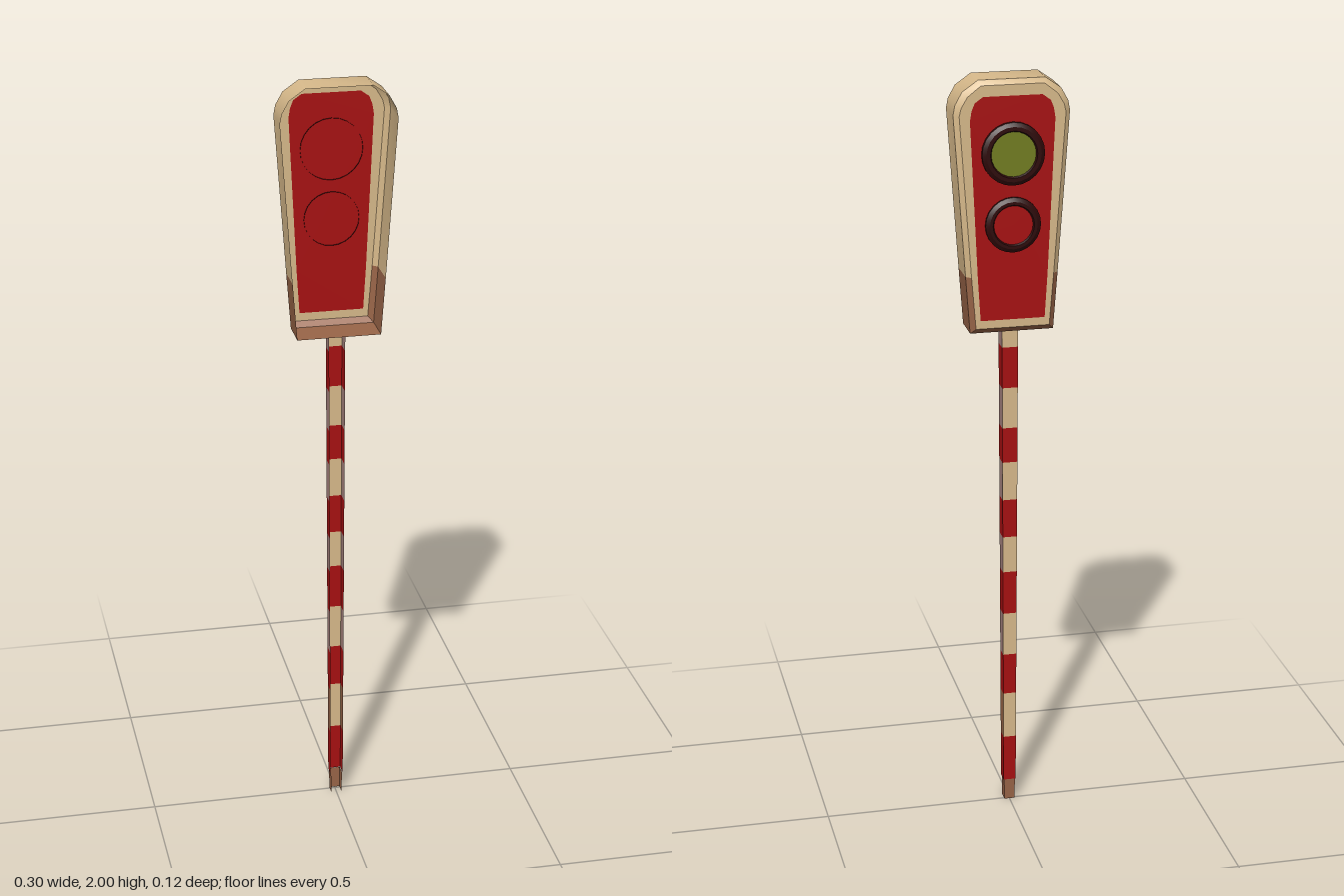
import * as THREE from 'three';
import { toCreasedNormals } from 'three/addons/utils/BufferGeometryUtils.js';

const material = (name, color) => {
  const m = new THREE.MeshStandardMaterial({ color, side: THREE.DoubleSide });
  m.name = name;
  return m;
};

// Geometry from a list of four-cornered faces
function quads(list) {
  const pos = [];
  for (const [a, b, c, d] of list) pos.push(...a, ...b, ...c, ...a, ...c, ...d);
  const g = new THREE.BufferGeometry();
  g.setAttribute('position', new THREE.Float32BufferAttribute(pos, 3));
  return toCreasedNormals(g, 0.75);
}

// Closed symmetric outline from its right half, listed bottom to top
const mirrorLoop = (half) => [...half, ...half.map(([x, y]) => [-x, y]).reverse()];

export function createModel() {
  const tan = material('tan', 0xd8ba8b);
  const red = material('red', 0xa81011);
  const brown = material('rust brown', 0x996548);
  const pink = material('faded pink', 0xa98580);
  const dark = material('dark rim', 0x2e0909);
  const green = material('olive green', 0x727d20);

  const model = new THREE.Group();
  model.name = 'railwaySignal';
  const add = (parent, name, geometry, mat) => {
    const mesh = new THREE.Mesh(geometry, mat);
    mesh.name = name;
    parent.add(mesh);
    return mesh;
  };

  // Head: shallow tapered tray, open at the front, with a bevelled back
  const head = new THREE.Group();
  head.name = 'head';
  model.add(head);
  const outer = mirrorLoop([[0.108, 1.35], [0.119, 1.5], [0.148, 1.915], [0.143, 1.94], [0.125, 1.972], [0.085, 2]]);
  const inner = mirrorLoop([[0.095, 1.364], [0.106, 1.5], [0.135, 1.913], [0.13, 1.934], [0.114, 1.961], [0.08, 1.988]]);
  const panel = mirrorLoop([[0.083, 1.385], [0.09, 1.5], [0.108, 1.9], [0.104, 1.925], [0.096, 1.945], [0.075, 1.96]]);
  const backZ = -0.043;

  // Strip of faces between two outlines, keeping only the edges that pass the test
  const strip = (a, za, b, zb, keep) => {
    const faces = [];
    a.forEach((p, i) => {
      const j = (i + 1) % a.length;
      if (keep(p, a[j])) faces.push([[...p, za], [...b[i], zb], [...b[j], zb], [...a[j], za]]);
    });
    return quads(faces);
  };
  const low = (p, q) => Math.max(p[1], q[1]) <= 1.5;
  const high = (p, q) => !low(p, q);
  add(head, 'upperWall', strip(outer, 0.057, outer, -0.031, high), tan);
  add(head, 'lowerWall', strip(outer, 0.057, outer, -0.031, low), brown);
  add(head, 'upperBevel', strip(outer, -0.031, inner, backZ, high), tan);
  add(head, 'lowerBevel', strip(outer, -0.031, inner, backZ, low), brown);
  add(head, 'backBorder', strip(inner, backZ, panel, backZ, () => true), tan);
  const panelShape = new THREE.Shape(panel.map(([x, y]) => new THREE.Vector2(x, y)));
  add(head, 'backPanel', new THREE.ShapeGeometry(panelShape), red).position.z = backZ;

  // Lamps: dark bevelled rim around a flat lens, facing the back
  const lamp = (name, y, r, lensR, depth, lensMat) => {
    const g = new THREE.Group();
    g.name = name;
    g.position.set(0, y, backZ);
    const profile = [[r, -0.004], [r, depth - 0.006], [r - 0.01, depth], [lensR + 0.003, depth], [lensR, depth - 0.005]];
    const rim = new THREE.LatheGeometry(profile.map(([x, h]) => new THREE.Vector2(x, h)), 24);
    rim.rotateX(-Math.PI / 2);
    add(g, 'rim', toCreasedNormals(rim, 0.5), dark);
    const lens = add(g, 'lens', new THREE.CircleGeometry(lensR, 24), lensMat);
    lens.rotation.y = Math.PI;
    lens.position.z = -(depth - 0.005);
    head.add(g);
  };
  lamp('upperLamp', 1.815, 0.08, 0.057, 0.016, green);
  lamp('lowerLamp', 1.633, 0.071, 0.05, 0.013, red);

  // Pole: slightly tapered square channel, open at the front, in painted bands
  const pole = new THREE.Group();
  pole.name = 'pole';
  model.add(pole);
  const levels = [0, 0.06, 0.19, 0.32, 0.435, 0.555, 0.675, 0.775, 0.88, 0.985, 1.08, 1.19, 1.3, 1.35];
  const half = (y) => 0.0165 + 0.0045 * y / 1.35;
  const corner = (sx, sz, y, w) => [sx * w, y, 0.009 + sz * w];
  for (let i = 0; i < levels.length - 1; i++) {
    const y0 = levels[i], y1 = levels[i + 1];
    const w0 = i ? half(y0) : 0.014, w1 = i ? half(y1) : 0.015;
    const isRed = i % 2 === 1;
    const backMat = i === 0 ? brown : isRed ? red : tan;
    const sideMat = i === 0 || i === 2 ? brown : isRed ? red : pink;
    const wall = (ax, az, bx, bz) => [
      corner(ax, az, y0, w0), corner(bx, bz, y0, w0), corner(bx, bz, y1, w1), corner(ax, az, y1, w1)];
    add(pole, 'poleBack' + i, quads([wall(1, -1, -1, -1)]), backMat);
    add(pole, 'poleSides' + i, quads([wall(1, 1, 1, -1), wall(-1, -1, -1, 1)]), sideMat);
  }

  return model;
}
